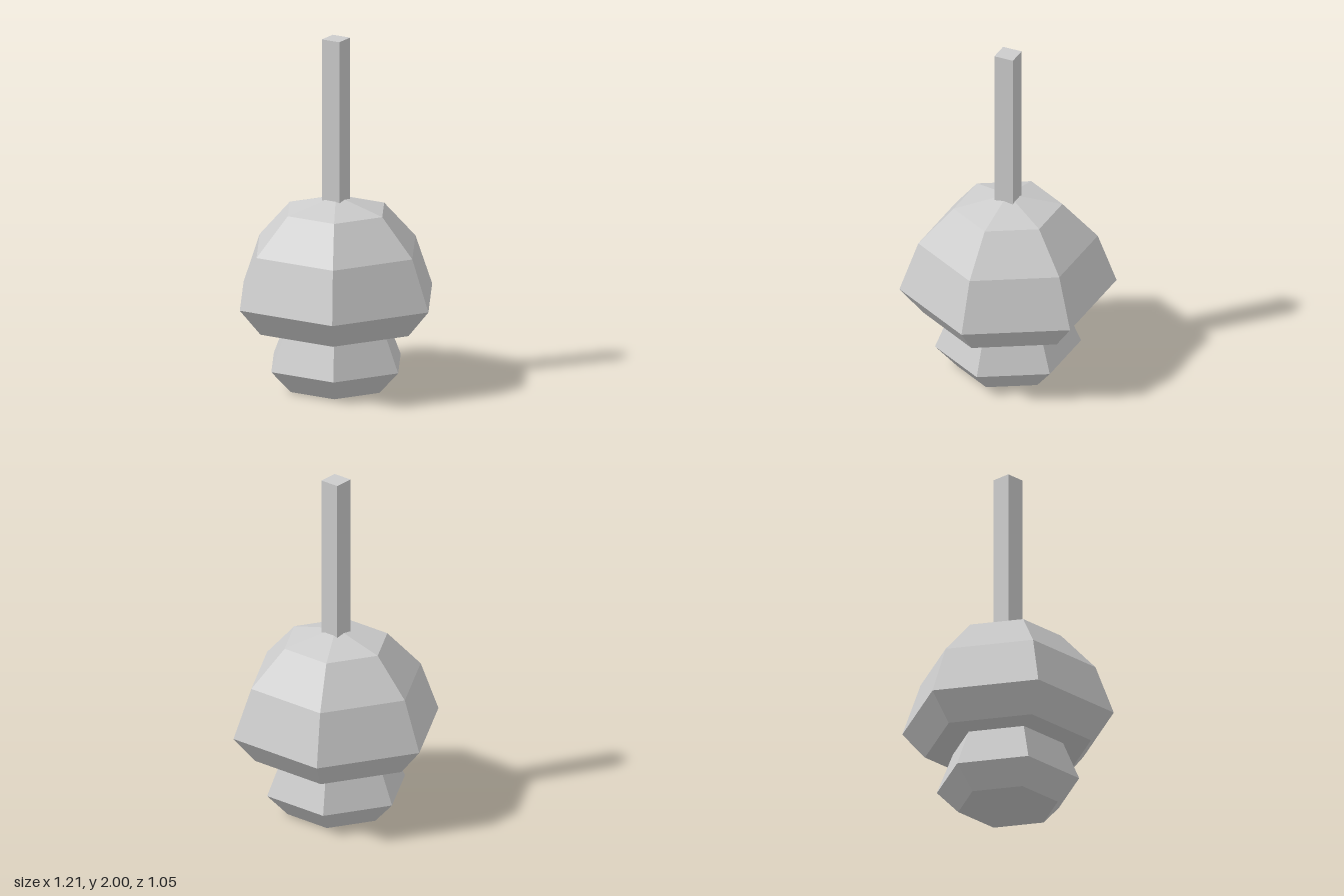
import * as THREE from 'three';

const grey = new THREE.MeshStandardMaterial({ color: 0xcccccc });
grey.name = 'plain grey';
grey.flatShading = true;

// Six-sided body turned from [radius, height] points listed bottom to top, corners on the x axis
function hexBody(name, profile) {
  const points = profile.map(([r, y]) => new THREE.Vector2(r, y));
  const geometry = new THREE.LatheGeometry(points, 6, Math.PI / 2).toNonIndexed();
  geometry.computeVertexNormals();
  const mesh = new THREE.Mesh(geometry, grey);
  mesh.name = name;
  return mesh;
}

export function createModel() {
  const group = new THREE.Group();
  group.name = 'hangingOrnament';

  // Small lower bulb, its top hidden inside the dome
  group.add(hexBody('lowerBulb', [[0, 0], [0.285, 0], [0.407, 0.13], [0.315, 0.355], [0.305, 0.38], [0, 0.38]]));

  // Large faceted dome with a flat underside
  group.add(hexBody('upperDome', [[0, 0.355], [0.475, 0.355], [0.605, 0.51], [0.5, 0.8], [0.303, 1.015], [0, 1.095]]));

  // Square rod
  const rod = new THREE.Mesh(new THREE.BoxGeometry(0.114, 0.95, 0.114), grey);
  rod.name = 'rod';
  rod.position.y = 1.525;
  group.add(rod);

  return group;
}
